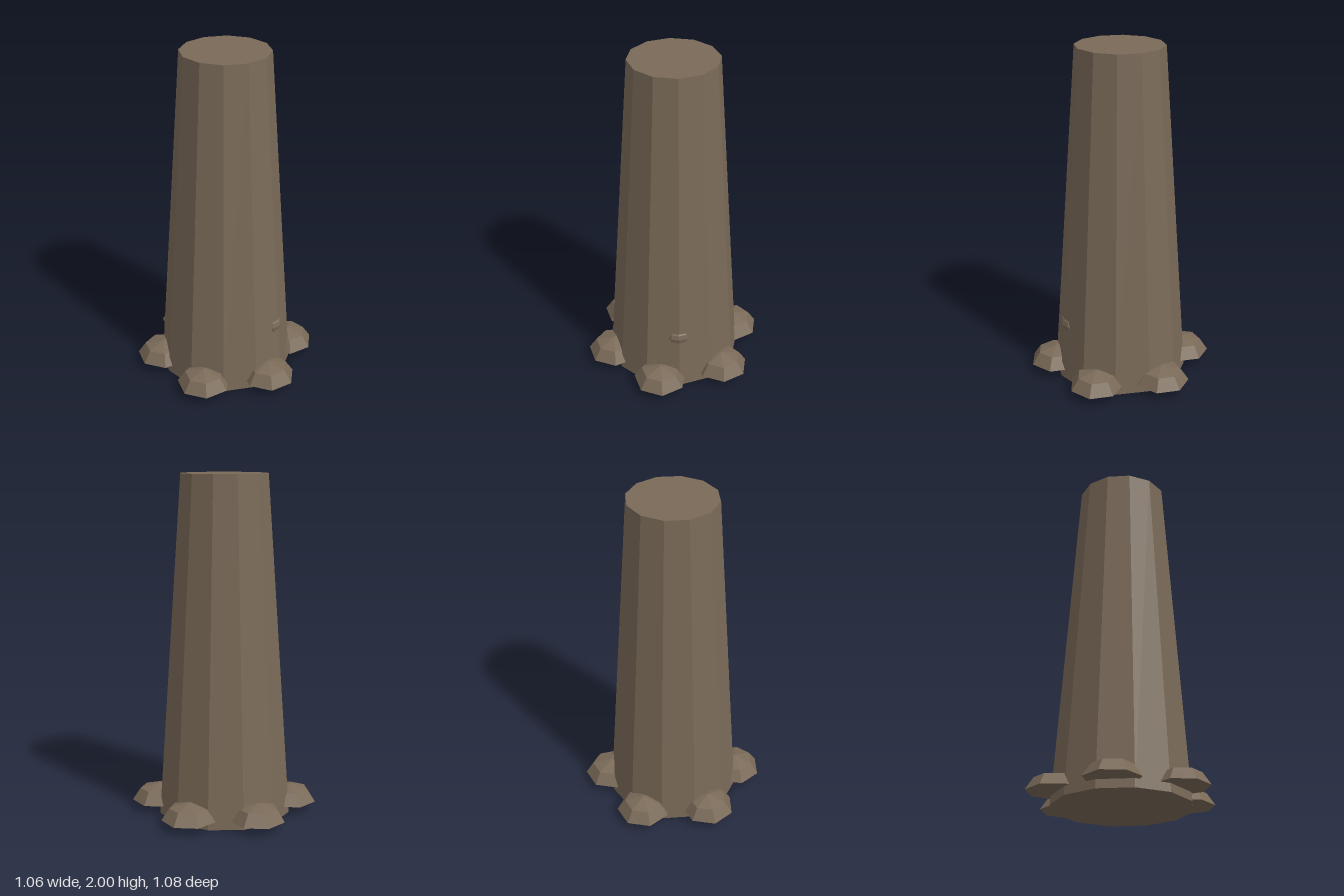
import * as THREE from 'three';

export function createModel() {
  const model = new THREE.Group();
  model.name = 'treeTrunk';
  const bark = new THREE.MeshStandardMaterial({ color: 0x7a6a58, flatShading: true });
  bark.name = 'bark';

  const add = (name, geometry, x, y, z, parent = model) => {
    const mesh = new THREE.Mesh(geometry, bark);
    mesh.name = name;
    mesh.position.set(x, y, z);
    parent.add(mesh);
    return mesh;
  };

  // The trunk sits slightly off centre because the roots are uneven
  const cx = -0.01, cz = -0.002;
  add('trunk', new THREE.CylinderGeometry(0.258, 0.398, 2, 12), cx, 1, cz);

  // Six flattened seven-sided root domes, closed underneath
  const rootRadius = 0.16, rootHeight = 0.1;
  const dome = new THREE.SphereGeometry(rootRadius, 7, 2, Math.PI, Math.PI * 2, 0, Math.PI / 2);
  dome.scale(1, rootHeight / rootRadius, 1);
  const base = new THREE.CircleGeometry(rootRadius, 7);
  base.rotateX(Math.PI / 2);
  for (let i = 0; i < 6; i++) {
    const angle = 0.3 + (i * Math.PI) / 3;
    const root = new THREE.Group();
    root.name = `root${i + 1}`;
    root.position.set(cx + Math.cos(angle) * 0.394, 0.05, cz + Math.sin(angle) * 0.394);
    add('rootDome', dome, 0, 0, 0, root);
    add('rootBase', base, 0, 0, 0, root);
    model.add(root);
  }

  // Small knot barely breaking through the bark
  const knot = add('knot', new THREE.SphereGeometry(1, 8, 6), 0.325, 0.345, 0);
  knot.scale.set(0.05, 0.055, 0.07);

  return model;
}
